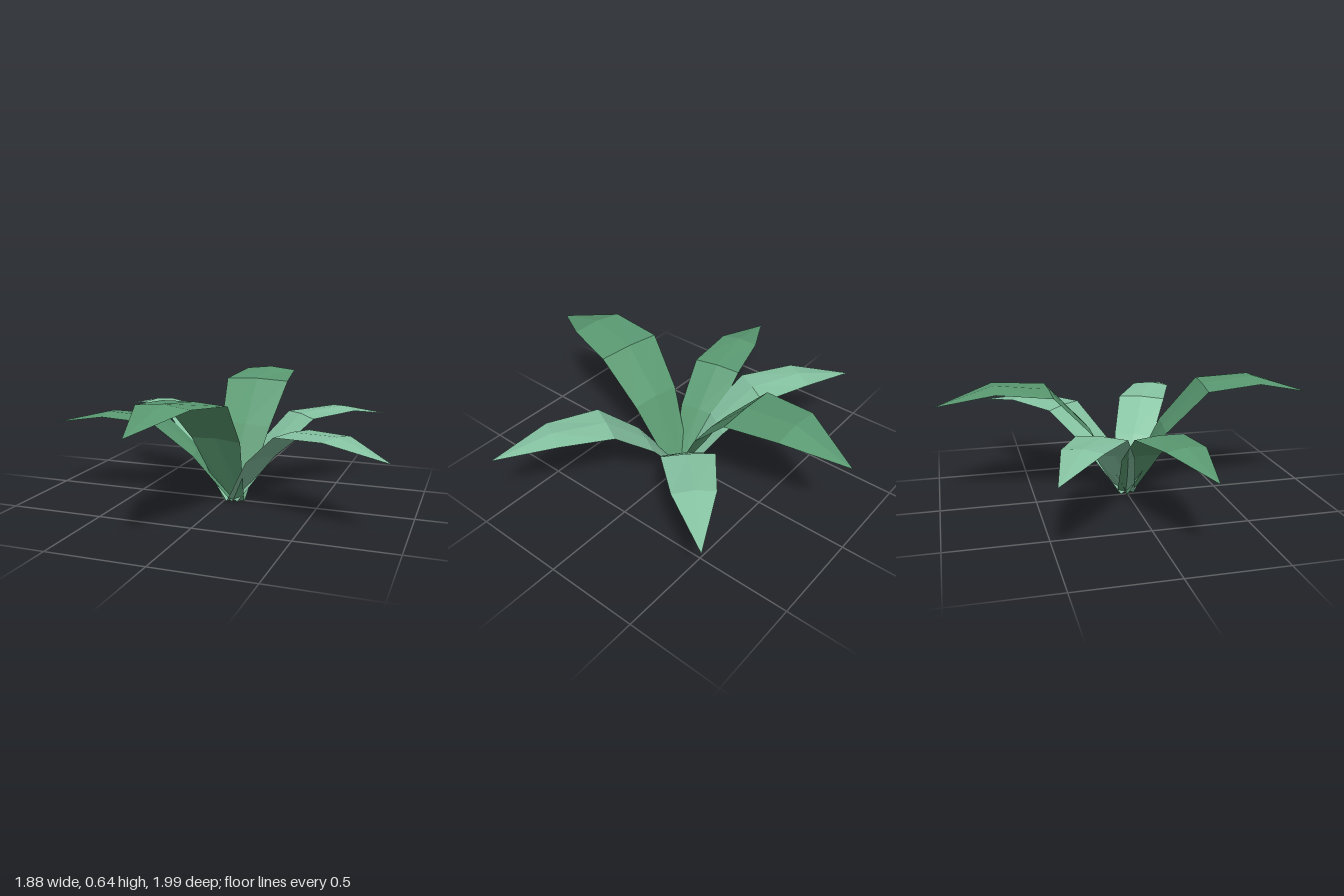
import * as THREE from 'three';

// Leaf cross-sections: [distance out, height, half width, midrib rise]
const TALL = [[0, 0, 0.065, 0], [0.2, 0.37, 0.14, 0.01], [0.41, 0.595, 0.18, 0.008], [0.69, 0.622, 0.146, 0.016], [1, 0.54, 0, 0]];
const LOW = [[0, 0, 0.05, 0], [0.2, 0.26, 0.11, 0.01], [0.41, 0.432, 0.133, 0.008], [0.69, 0.45, 0.105, 0.013], [1, 0.39, 0, 0]];

// One folded blade running along +z: left edge, midrib, right edge per section
function bladeGeometry(sections) {
  const pos = [], index = [];
  for (const [r, y, w, rise] of sections) {
    pos.push(-w, y, r, 0, y + rise, r, w, y, r);
  }
  for (let i = 0; i < sections.length - 1; i++) {
    for (let j = 0; j < 2; j++) {
      const a = i * 3 + j, b = a + 1, c = a + 3, d = a + 4;
      if (i === sections.length - 2) index.push(a, c, b); // pointed tip
      else index.push(a, c, b, b, c, d);
    }
  }
  // Reverse the winding so the upper side is the front
  for (let i = 0; i < index.length; i += 3) [index[i + 1], index[i + 2]] = [index[i + 2], index[i + 1]];
  const g = new THREE.BufferGeometry();
  g.setAttribute('position', new THREE.Float32BufferAttribute(pos, 3));
  g.setIndex(index);
  const flat = g.toNonIndexed();
  flat.computeVertexNormals();
  return flat;
}

export function createModel() {
  const group = new THREE.Group();
  group.name = 'plant';
  const makeGreen = (name, color) => {
    const m = new THREE.MeshStandardMaterial({ color, side: THREE.DoubleSide, flatShading: true });
    m.name = name;
    return m;
  };
  const dark = makeGreen('deepGreen', 0x5a9a72);
  const light = makeGreen('paleGreen', 0x86c4a3);
  const tall = bladeGeometry(TALL), low = bladeGeometry(LOW);

  // Leaves around the shared root, each aimed at its tip (x, z)
  const leaves = [
    ['backLeaf', tall, dark, 0.04, -1],
    ['frontLeaf', tall, dark, -0.1, 1],
    ['rightLeaf', low, dark, -0.94, 0.17],
    ['leftLeaf', low, light, 0.93, 0.45],
    ['backLeftLeaf', low, light, 0.75, -0.7],
    ['backRightLeaf', low, light, -0.82, -0.5],
  ];
  for (const [name, geometry, material, x, z] of leaves) {
    const leaf = new THREE.Mesh(geometry, material);
    leaf.name = name;
    leaf.position.x = 0.04;
    leaf.rotation.y = Math.atan2(x - 0.04, z);
    group.add(leaf);
  }
  return group;
}
